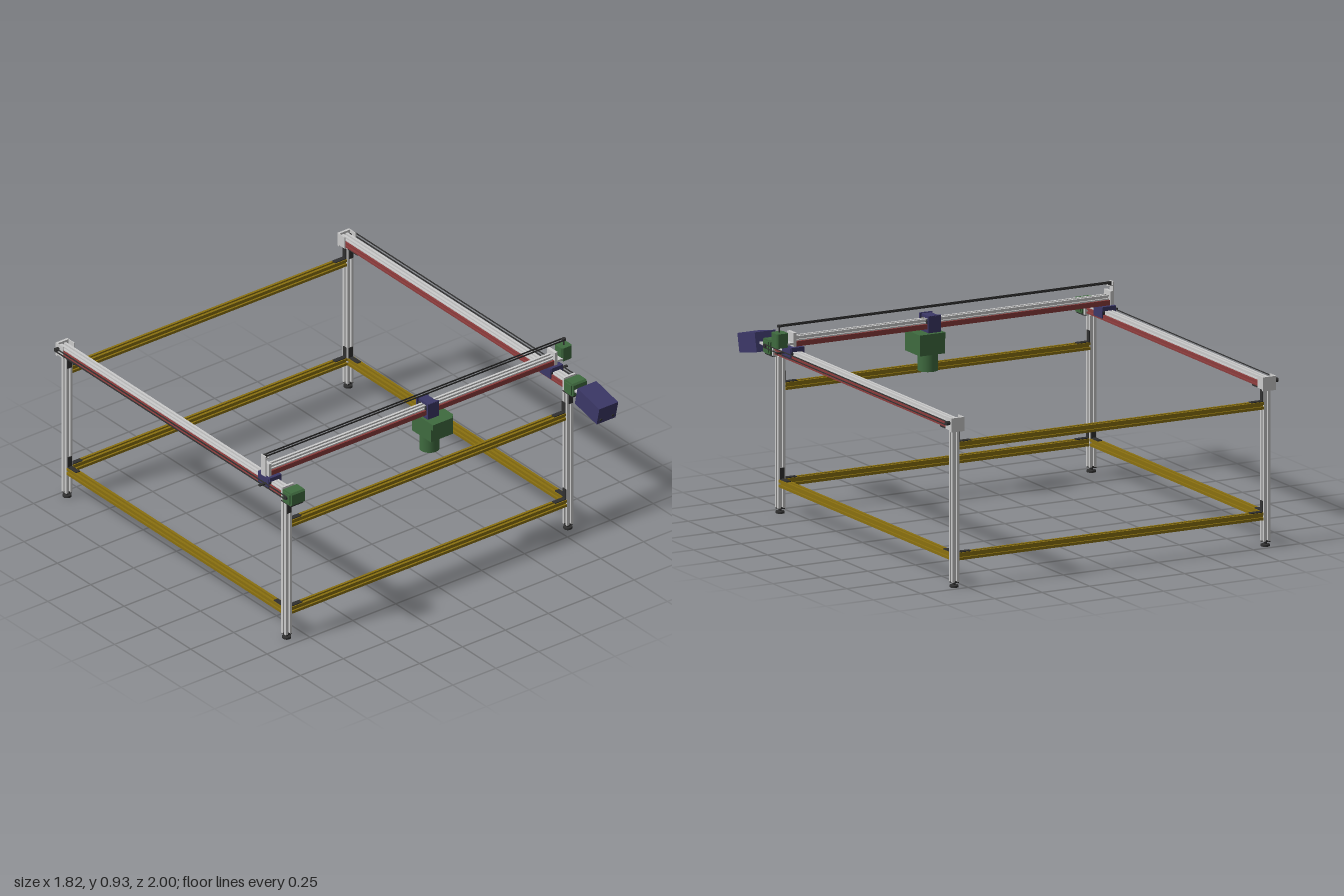
import * as THREE from 'three';

const mat = (color) => new THREE.MeshStandardMaterial({ color });
const grey = mat(0xcccccc), yellow = mat(0x8a7010), red = mat(0x8c3c3c);
const green = mat(0x3f6b3f), purple = mat(0x3c3868), dark = mat(0x303030);

export function createModel() {
  const model = new THREE.Group();

  const add = (name, geo, m, x, y, z) => {
    const mesh = new THREE.Mesh(geo, m);
    mesh.name = name;
    mesh.position.set(x, y, z);
    model.add(mesh);
    return mesh;
  };
  const box = (name, m, x, y, z, w, h, d) => add(name, new THREE.BoxGeometry(w, h, d), m, x, y, z);
  // box given by its limits
  const span = (name, m, x0, x1, y0, y1, z0, z1) =>
    box(name, m, (x0 + x1) / 2, (y0 + y1) / 2, (z0 + z1) / 2, x1 - x0, y1 - y0, z1 - z0);
  const cyl = (name, m, x, y, z, r, len, axis = 'y') => {
    const geo = new THREE.CylinderGeometry(r, r, len, 24);
    if (axis === 'x') geo.rotateZ(Math.PI / 2);
    if (axis === 'z') geo.rotateX(Math.PI / 2);
    return add(name, geo, m, x, y, z);
  };

  const extrude = (pts, len) => {
    const shape = new THREE.Shape(pts.map(([x, y]) => new THREE.Vector2(x, y)));
    const geo = new THREE.ExtrudeGeometry(shape, { depth: len, bevelEnabled: false });
    return geo.translate(0, 0, -len / 2);
  };
  const orient = (geo, axis) => {
    if (axis === 'x') geo.rotateY(Math.PI / 2);
    if (axis === 'y') geo.rotateX(-Math.PI / 2);
    return geo;
  };

  // slotted bar: one notched side turned four times; w and h are half sizes
  const slotted = (w, h, len, axis) => {
    const pts = [];
    const s = 0.005, d = 0.009;
    for (let i = 0; i < 4; i++) {
      const a = i % 2 ? h : w, b = i % 2 ? w : h;
      const side = [[-a, -b], [-s, -b], [-s, -b + d], [s, -b + d], [s, -b]];
      const c = [1, 0, -1, 0][i], n = [0, 1, 0, -1][i];
      for (const [x, y] of side) pts.push([c * x - n * y, n * x + c * y]);
    }
    return orient(extrude(pts, len), axis);
  };

  // block with chamfered edges along one axis
  const chamfered = (w, h, len, c, axis) => {
    const a = w / 2, b = h / 2;
    return orient(extrude([[-a + c, -b], [a - c, -b], [a, -b + c], [a, b - c],
      [a - c, b], [-a + c, b], [-a, b - c], [-a, -b + c]], len), axis);
  };

  const legX = [-0.836, 0.802], legZ = [0.686, -0.96];
  const midX = (legX[0] + legX[1]) / 2, midZ = (legZ[0] + legZ[1]) / 2;
  const R = 0.018;
  const barLenX = legX[1] - legX[0] - 2 * R, barLenZ = legZ[0] - legZ[1] - 2 * R;

  // legs with adjustable feet
  for (const x of legX) for (const z of legZ) {
    add('leg', slotted(R, R, 0.72, 'y'), grey, x, 0.385, z);
    cyl('footPad', dark, x, 0.005, z, 0.021, 0.01);
    cyl('footStem', dark, x, 0.018, z, 0.007, 0.02);
    box('legEndCap', dark, x, 0.025, z, 0.034, 0.008, 0.034);
  }

  // cross bars and their corner brackets
  const crossBars = [[0.145, legZ[0]], [0.145, legZ[1]], [0.602, 0.68], [0.67, -0.963]];
  for (const [y, z] of crossBars) {
    add('crossBar', slotted(0.0175, 0.0175, barLenX, 'x'), yellow, midX, y, z);
    legX.forEach((x, i) => {
      const s = i ? -1 : 1, edge = x + s * R;
      box('cornerBracket', dark, edge + s * 0.032, y + 0.0195, z, 0.064, 0.004, 0.024);
      box('cornerBracket', dark, edge + s * 0.002, y + 0.045, z, 0.004, 0.055, 0.024);
    });
  }
  for (const x of legX) {
    add('sideBar', slotted(0.0175, 0.0175, barLenZ, 'z'), yellow, x, 0.145, midZ);
    legZ.forEach((z, i) => {
      const s = i ? 1 : -1, edge = z + s * R;
      box('cornerBracket', dark, x, 0.1645, edge + s * 0.032, 0.024, 0.004, 0.064);
      box('cornerBracket', dark, x, 0.19, edge + s * 0.002, 0.024, 0.055, 0.004);
    });
  }

  // side rails with drive motors, belts and carriages
  [-0.837, 0.804].forEach((x, i) => {
    const s = i ? 1 : -1, beltX = x + s * 0.049;
    add('sideRailBase', slotted(0.027, 0.0125, 1.675, 'z'), red, x, 0.7665, -0.152);
    add('sideRailTop', slotted(0.017, 0.011, 1.675, 'z'), grey, x, 0.789, -0.152);
    span('railEndPlate', grey, x - 0.034, x + 0.034, 0.743, 0.81, -1, -0.988);
    for (const t of [-1, 1]) box('idlerCheek', grey, x + t * 0.032, 0.78, -0.97, 0.004, 0.06, 0.05);
    span('railFrontPlate', grey, x - 0.034, x + 0.034, 0.743, 0.815, 0.688, 0.7);
    // brackets under the rail
    span('railBracket', dark, x - 0.02, x + 0.02, 0.743, 0.749, -0.94, -0.868);
    span('railBracket', dark, x - 0.012, x + 0.012, 0.69, 0.745, -0.942, -0.938);
    span('motorBracket', dark, x - 0.012, x + 0.012, 0.672, 0.743, 0.704, 0.709);
    span('motorBracket', dark, x - 0.035, x + 0.035, 0.741, 0.747, 0.69, 0.765);
    // drive motor
    add('railMotor', chamfered(0.07, 0.068, 0.078, 0.008, 'x'), green, x, 0.782, 0.741);
    box('railMotorCap', green, x, 0.782, 0.741, 0.09, 0.05, 0.05);
    // belt loop along the rail
    cyl('beltPulley', dark, beltX, 0.785, 0.741, 0.01, 0.008, 'x');
    cyl('beltPulley', dark, beltX - s * 0.008, 0.785, -0.98, 0.01, 0.024, 'x');
    for (const t of [-1, 1]) box('railBelt', dark, beltX, 0.785 + t * 0.0085, -0.12, 0.006, 0.003, 1.72);
    // carriage carrying the gantry
    span('railCarriage', purple, x - 0.034, x + 0.034, 0.8, 0.82, 0.515, 0.605);
    for (const t of [-1, 1]) {
      box('carriageCheek', purple, x + t * 0.034, 0.79, 0.56, 0.006, 0.05, 0.08);
      for (const u of [-1, 1]) cyl('carriageWheel', dark, x + t * 0.025, 0.79, 0.56 + u * 0.027, 0.012, 0.01, 'x');
    }
    box('beltClamp', dark, x + s * 0.055, 0.787, 0.58, 0.045, 0.006, 0.014);
  });

  // gantry beam
  const gz = 0.56;
  add('gantryBase', slotted(0.027, 0.012, 1.68, 'x').rotateX(Math.PI / 2).rotateX(-Math.PI / 2), red, -0.024, 0.832, gz).geometry.scale(1, 1, 1);
  model.children.at(-1).geometry = new THREE.BoxGeometry(1.68, 0.024, 0.054);
  add('gantryTop', slotted(0.017, 0.011, 1.68, 'x'), grey, -0.024, 0.855, gz);
  for (const x of [-0.857, 0.81]) span('gantryEndPlate', grey, x - 0.008, x + 0.008, 0.82, 0.886, gz - 0.03, gz + 0.03);
  span('idlerPost', grey, -0.878, -0.872, 0.82, 0.926, gz - 0.014, gz + 0.02);
  span('idlerArm', grey, -0.878, -0.85, 0.906, 0.911, gz - 0.014, gz + 0.014);

  // gantry motor and belt loop
  span('gantryMotorMount', grey, 0.81, 0.85, 0.83, 0.84, gz - 0.028, gz + 0.028);
  add('gantryMotor', chamfered(0.06, 0.062, 0.068, 0.008, 'y'), green, 0.877, 0.856, gz - 0.004);
  cyl('motorShaft', dark, 0.877, 0.905, gz, 0.004, 0.035);
  cyl('gantryPulley', dark, 0.877, 0.92, gz, 0.01, 0.01);
  cyl('gantryPulley', dark, -0.862, 0.918, gz, 0.01, 0.014);
  for (const t of [-1, 1]) box('gantryBelt', dark, 0.0075, 0.92, gz + t * 0.009, 1.74, 0.007, 0.003);

  // tool carriage
  const cx = 0.083;
  span('toolCarriage', purple, cx - 0.025, cx + 0.025, 0.868, 0.882, gz - 0.046, gz + 0.046);
  for (const t of [-1, 1]) {
    box('toolCarriageCheek', purple, cx, 0.846, gz + t * 0.04, 0.066, 0.078, 0.01);
    for (const u of [-1, 1]) cyl('toolCarriageWheel', dark, cx + u * 0.02, 0.855, gz + t * 0.026, 0.014, 0.012, 'z');
  }
  span('toolPlate', purple, cx - 0.033, cx + 0.033, 0.803, 0.815, gz - 0.045, gz + 0.045);

  // tool head: body with one cut corner, deeper at the top, and a spindle
  const head = orient(extrude([[0.037, -0.66], [0.15, -0.66], [0.173, -0.635],
    [0.173, -0.495], [0.037, -0.495]], 0.03), 'y');
  add('toolHeadTop', head, green, 0, 0.79, 0);
  span('toolHeadBody', green, 0.04, 0.17, 0.705, 0.776, 0.498, 0.64);
  cyl('spindle', green, 0.094, 0.665, gz, 0.047, 0.09);
  cyl('spindleNose', green, 0.094, 0.622, gz, 0.04, 0.006);

  // tilted control box beside the right-hand drive motor
  const control = box('controlBox', purple, 0.8, 0.766, 0.904, 0.11, 0.092, 0.168);
  control.rotation.x = 0.222;
  span('controlBoxArm', grey, 0.77, 0.835, 0.775, 0.785, 0.765, 0.84);
  for (const t of [-1, 1]) {
    const port = new THREE.Mesh(new THREE.CylinderGeometry(0.007, 0.007, 0.004, 16).rotateX(Math.PI / 2), dark);
    port.name = 'controlBoxPort';
    port.position.set(t * 0.035, -0.025, 0.085);
    control.add(port);
  }
  return model;
}
